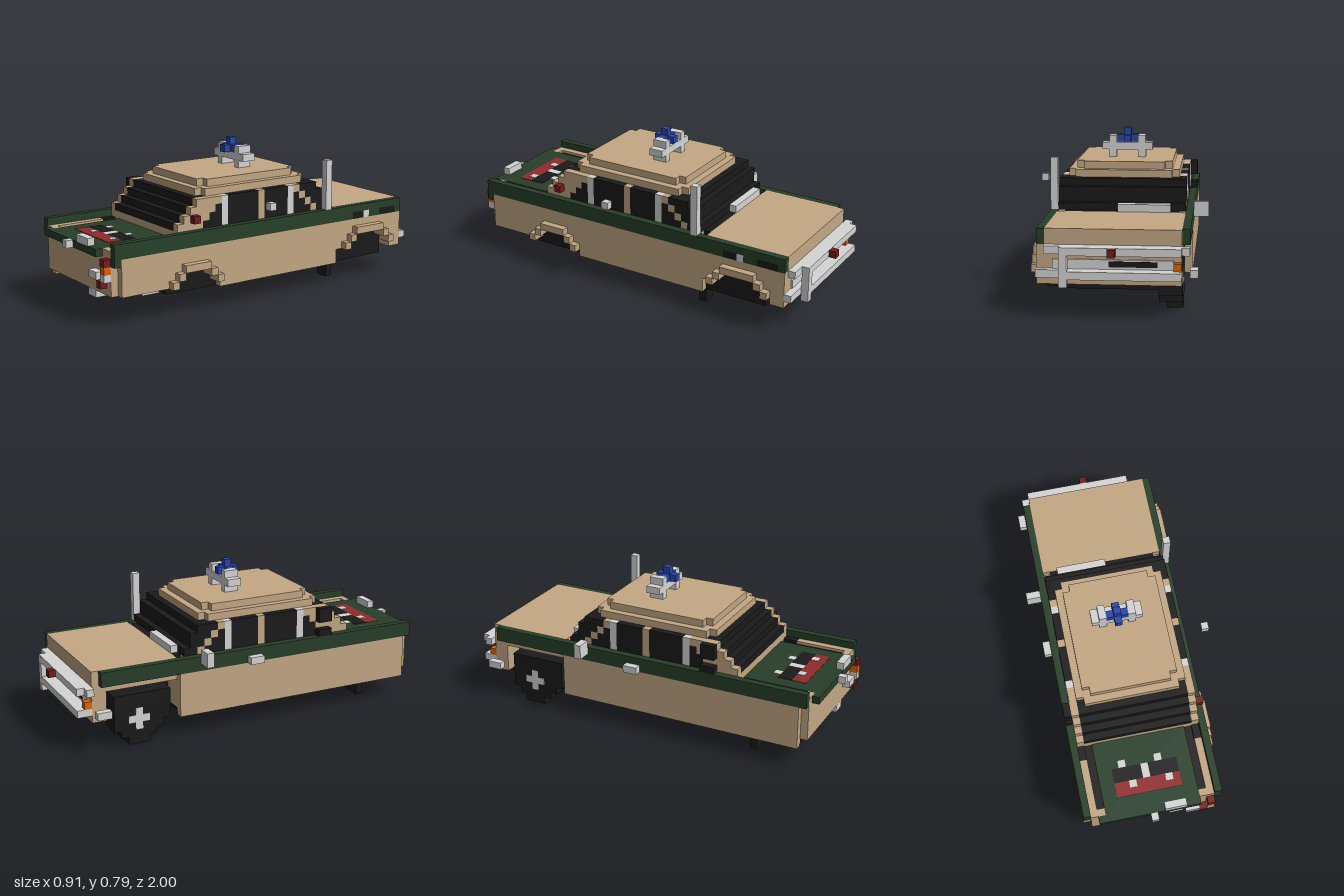
import * as THREE from 'three';

const U = 2 / 53; // one block

export function createModel() {
  const model = new THREE.Group();
  model.name = 'blockCar';
  const mat = (name, color) => {
    const m = new THREE.MeshStandardMaterial({ color });
    m.name = name;
    return m;
  };
  const tan = mat('tan', 0xc4a884), black = mat('black', 0x1a1a1a), green = mat('green', 0x273f29);
  const grey = mat('grey', 0xd6d6d6), darkRed = mat('darkRed', 0x761a1d), red = mat('red', 0x922a2c);
  const orange = mat('orange', 0xdb660a), blue = mat('blue', 0x2a47aa);

  // Block-unit box: x and y ranges, and z counted from the rear end (0..53)
  const box = (name, m, x0, x1, y0, y1, z0, z1) => {
    const mesh = new THREE.Mesh(new THREE.BoxGeometry((x1 - x0) * U, (y1 - y0) * U, (z1 - z0) * U), m);
    mesh.position.set((x0 + x1) / 2 * U, (y0 + y1) / 2 * U, ((z0 + z1) / 2 - 26.5) * U);
    mesh.name = name;
    model.add(mesh);
  };

  // Main body
  box('rearBody', tan, -9, 8, 4, 11, 3, 5);
  box('rearDeck', tan, -9, 8, 8, 11, 5, 15);
  box('rearChassis', black, -6, 6, 3, 8, 5, 15);
  box('midBody', tan, -9, 8, 4, 10, 15, 41);
  box('cabinBase', tan, -9, 8, 10, 11, 16, 41);
  box('windowSill', black, -8, 7, 10, 11, 15, 16);
  box('frontBody', tan, -9, 8, 4, 9, 41, 51);
  box('floorLeft', black, -9, 2, 3.5, 4, 15, 50);
  box('floorRight', black, 2, 7, 3.5, 4, 15, 43);
  box('floorFrontRight', black, 4, 7, 3.9, 4, 43, 50);
  box('underTray', black, -3, 1, 2, 3.5, 12, 42);

  // Side panels
  box('leftPanel', tan, -10, -9, 3, 9, 15, 50);
  box('rightPanelTop', tan, 8, 9, 8, 9, 3, 50);
  box('rightPanelRear', tan, 8, 9, 4, 8, 3, 5);
  box('rightPanelOverRearArch', tan, 8, 9, 7, 8, 5, 15);
  box('rightPanelMiddle', tan, 8, 9, 3, 8, 15, 35);
  box('rightSill', tan, 7, 8, 3, 4, 15, 35);
  box('rightPanelOverFrontArch', tan, 8, 9, 6, 8, 35, 43);
  box('rightPanelFront', tan, 8, 9, 4, 8, 43, 50);

  // Stepped arches on the right side
  for (const [z0, z1, top] of [[5, 14, 8], [35, 43, 7]]) {
    box('archTop', tan, 8.98, 10, top - 1, top, z0 + 2, z1 - 2);
    for (let i = 0; i < 2; i++) {
      const y = top - 2 - i;
      box('archStep', tan, 8, 10, y, y + 1, z0 + 1 - i, z0 + 2 - i);
      box('archStep', tan, 8, 10, y, y + 1, z1 - 2 + i, z1 - 1 + i);
    }
    for (const z of [z0, z1 - 1]) box('archCorner', tan, 8, 9, top - 2, top - 1, z, z + 1);
  }
  box('archRearFill', tan, 8, 9, 5, 7, 14, 15);

  // Wheels and mud flaps
  box('frontRightWheel', black, 5, 8.05, 3, 6, 35.05, 42.95);
  box('rearRightWheel', black, 6, 8.05, 3, 7, 6, 15);
  box('rearLeftWheelTop', black, -9, -6, 3, 7, 6, 14);
  box('rearLeftWheelUpper', black, -9, -6, 2, 3, 6, 13);
  box('rearLeftWheelLower', black, -9, -6, 1, 2, 7, 12);
  box('rearLeftWheelFoot', black, -9, -7, 0, 1, 8, 11);
  box('rearLeftHub', grey, -9.05, -9, 3, 4, 8, 11);
  for (const y of [2, 4]) box('rearLeftHub', grey, -9.05, -9, y, y + 1, 9, 10);
  box('frontLeftFlap', black, -9, -6, 1, 4, 43, 44);
  box('rearRightFlap', black, 6, 8, 1, 3.5, 15, 16);

  // Exhaust
  box('exhaustPipe', grey, 3, 4, 2, 3, 9, 44);
  box('muffler', grey, 1, 3, 2, 3, 27, 33);
  box('tailPipe', grey, 2, 4, 3, 3.98, 43, 51);

  // Green rails
  box('leftRail', green, -10, -9, 9, 11, 4, 51);
  box('rightRailTop', green, 8, 9, 10, 11, 3, 51);
  const trim = [[3, 4, green], [4, 7, black], [7, 9, green], [9, 10, grey], [10, 12, black], [12, 51, green]];
  for (const [z0, z1, m] of trim) box('rightRailLower', m, 8, 9, 9, 10, z0, z1);
  box('rightRailEnd', green, 8, 9, 8, 9, 50, 51);

  // Front lid with its borders, gutters and coloured panels
  box('lid', green, -7, 6, 9, 10, 41, 51);
  box('lidLip', green, -8, 6, 9, 10, 51, 52);
  for (const [a, b, c, d] of [[-9, -8, -8, -7], [7, 8, 6, 7]]) {
    box('lidBorderRear', black, a, b, 9, 10, 41, 43);
    box('lidBorder', tan, a, b, 9, 10, 43, 51);
    box('lidGutter', black, c, d, 9, 9.6, 41, 50);
    box('lidGutterEnd', tan, c, d, 9, 10, 50, 51);
  }
  const panel = (name, m, x0, x1, z0, z1) => box(name, m, x0, x1, 10, 10.05, z0, z1);
  panel('lidRedPanel', red, -5, 4, 47, 49);
  panel('lidBlackPanelLeft', black, 0, 4, 45, 47);
  panel('lidBlackPanelRight', black, -5, -1, 45, 47);
  panel('lidGreyPatch', grey, -1, 0, 45, 47);
  for (const x of [-4, 1]) panel('lidGreyPatch', grey, x, x + 1, 44, 45);
  for (const x of [-3, 2]) box('lidGreyPatch', grey, x, x + 1, 10, 10.1, 47, 48);
  box('lidHandle', grey, 1, 4, 10, 11, 51, 52);
  box('lidKnob', grey, -1, 0, 9, 10, 52, 53);

  // Front corner lights
  box('redLamp', darkRed, 7, 8, 8, 9, 51, 52);
  box('orangeLamp', orange, 7, 8, 7, 8, 51, 52);
  box('clearLamp', grey, 7, 8, 6, 7, 51, 52);
  box('lowerRedLamp', darkRed, 6, 7, 5, 6, 51, 52);
  box('plate', grey, 4, 6, 6, 7, 51, 52);

  // Cabin: four stepped layers of glass with pillars in the outer columns
  for (let k = 0; k < 4; k++) {
    const y = 11 + k, f = 41 - k, r = [16, 17, 17, 18][k], p = 18 + k;
    box('glass', black, -8, 7, y, y + 1, r, f);
    const columns = [[r, p, black], [p, p + 1, tan], [p + 1, 22, black], [22, 23, grey], [23, 27, black],
      [27, 28, tan], [28, 33, black], [33, 34, grey], [34, f - 4, black], [f - 4, f, tan]];
    for (const [z0, z1, m] of columns) {
      if (z1 <= z0) continue;
      for (const x of [-9, 7]) box(m === black ? 'sideWindow' : 'pillar', m, x, x + 1, y, y + 1, z0, z1);
    }
  }
  box('wiper', grey, -7, 0, 11, 12, 15, 16);

  // Two roof tiers with notched corners
  for (const [x0, x1, y, z0, z1] of [[-8, 7, 15, 19, 37], [-7, 6, 16, 20, 36]]) {
    box('roof', tan, x0 + 1, x1 - 1, y, y + 1, z0, z1);
    for (const x of [x0, x1 - 1]) box('roofSide', tan, x, x + 1, y, y + 1, z0 + 1, z1 - 1);
  }

  // Roof beacon
  for (const x of [-3, 1]) {
    box('beaconLeg', grey, x, x + 1, 17, 18, 25, 27);
    box('beaconSide', grey, x, x + 1, 19, 20, 25, 27);
  }
  box('beaconBar', grey, -4, 3, 18, 19, 25, 27);
  box('beaconLamp', blue, -1, 0, 19, 20, 25, 28);
  for (const x of [-2, 0]) box('beaconLampSide', blue, x, x + 1, 19, 20, 26, 27);
  box('beaconLampTop', blue, -1, 0, 20, 21, 26, 27);

  // Rear bumper and grille
  box('upperBumper', grey, -9, 6, 8, 9, 1, 3);
  box('upperBumperEnd', grey, 6, 8, 8, 9, 2, 3);
  box('upperBumperCorner', grey, -10, -9, 8, 9, 2, 3);
  box('lowerBumper', grey, -9, 6, 5, 6, 1, 3);
  box('lowerBumperEnd', grey, 6, 9, 5, 6, 2, 3);
  box('grillePlate', grey, -8, 7, 6, 7.2, 2.8, 3);
  box('grilleSlot', black, -6, 0, 6.3, 7, 2.7, 2.8);
  box('overrider', grey, 5, 6, 4, 8.98, 0.98, 2);
  box('bumperLamp', darkRed, -1, 0, 8, 9, 0, 1);
  box('rearOrangeLamp', orange, -9, -8, 6, 7, 2, 3);
  box('rearSideBlock', grey, -11, -10, 5, 6, 3, 5);

  // Antenna, mirrors and other side blocks
  box('antenna', grey, 8, 9, 11, 18, 16, 17);
  box('rightBlock', grey, 11, 12, 13, 14, 28, 29);
  box('rightRedLamp', darkRed, 8, 9, 12, 13, 38, 39);
  box('leftMirror', black, -10, -9, 13, 15, 36, 38);
  box('leftMirrorBase', black, -10, -9, 11, 12, 36, 38);
  box('leftLongBlock', grey, -12, -10, 10, 12, 18, 19);
  box('leftHandle', grey, -11, -10, 9, 10, 25, 27);

  return model;
}
